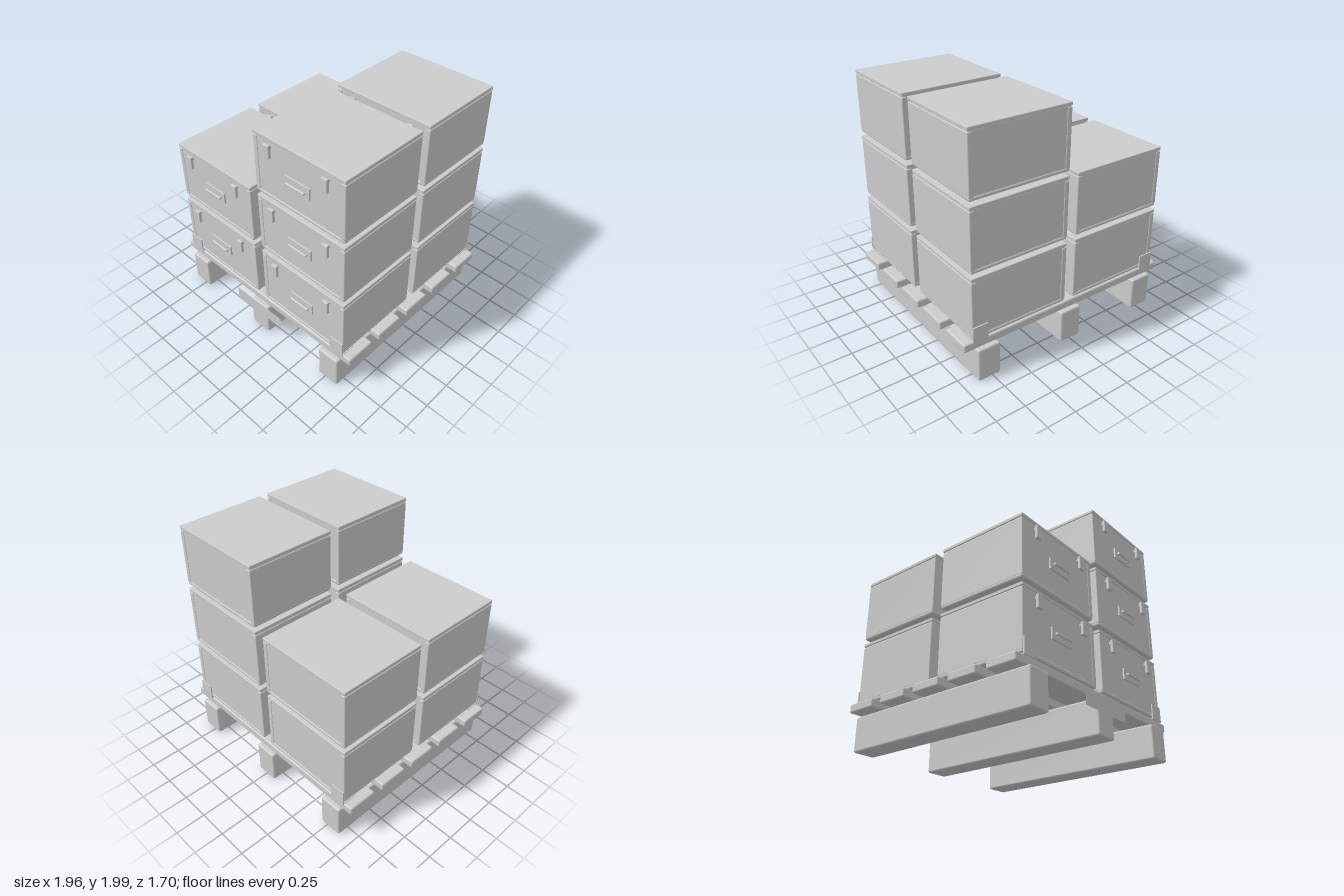
import * as THREE from 'three';
import { RoundedBoxGeometry } from 'three/addons/geometries/RoundedBoxGeometry.js';

const grey = new THREE.MeshStandardMaterial({ color: 0xcccccc });
grey.name = 'light grey';
const greySheet = new THREE.MeshStandardMaterial({ color: 0xcccccc, side: THREE.DoubleSide });
greySheet.name = 'light grey sheet';

function add(parent, name, geometry, x, y, z, material = grey) {
  const mesh = new THREE.Mesh(geometry, material);
  mesh.name = name;
  mesh.position.set(x, y, z);
  parent.add(mesh);
  return mesh;
}

const rounded = (w, h, d, r) => new RoundedBoxGeometry(w, h, d, 2, r);

// Storage crate, standing on its own y = 0 and facing +z
const W = 0.86, H = 0.52, D = 0.77;
function makeCrate() {
  const crate = new THREE.Group();
  crate.name = 'crate';
  const front = D / 2;
  add(crate, 'body', rounded(W - 0.012, H - 0.03, D - 0.012, 0.012), 0, (H - 0.03) / 2 + 0.008, 0);
  add(crate, 'bottomTray', rounded(W, 0.036, D, 0.016), 0, 0.018, 0);
  add(crate, 'lid', rounded(W, 0.028, D, 0.006), 0, H - 0.014, 0);
  for (const side of [-1, 1]) {
    add(crate, 'sidePanel', rounded(0.042, 0.462, D - 0.002, 0.008), side * (W / 2 - 0.021), 0.254, 0);
    // Latch with a small hook at its top
    add(crate, 'latch', rounded(0.054, 0.11, 0.026, 0.006), side * 0.269, 0.42, front + 0.018);
    add(crate, 'latchHook', new THREE.BoxGeometry(0.04, 0.02, 0.016), side * 0.269, 0.45, front);
  }
  add(crate, 'labelPlate', new THREE.PlaneGeometry(0.296, 0.075), 0, 0.402, front + 0.001, greySheet);
  // Handle: back plate, two stand-offs and a grip bar
  add(crate, 'handlePlate', new THREE.BoxGeometry(0.235, 0.09, 0.014), 0, 0.25, front + 0.003);
  const bar = add(crate, 'handleBar', new THREE.CylinderGeometry(0.01, 0.01, 0.175, 12), 0, 0.25, front + 0.025);
  bar.rotation.z = Math.PI / 2;
  for (const side of [-1, 1]) {
    add(crate, 'handleMount', new THREE.BoxGeometry(0.012, 0.014, 0.025), side * 0.08, 0.25, front + 0.014);
  }
  return crate;
}

export function createModel() {
  const model = new THREE.Group();
  model.name = 'loadedPallet';

  // Pallet: three runners and five cross slats
  const pallet = new THREE.Group();
  pallet.name = 'pallet';
  model.add(pallet);
  for (const x of [-0.785, -0.003, 0.778]) {
    add(pallet, 'runner', rounded(0.195, 0.28, 1.695, 0.016), x, 0.14, -0.0075);
  }
  for (let i = 0; i < 5; i++) {
    add(pallet, 'slat', rounded(1.955, 0.07, 0.255, 0.014), -0.003, 0.315, 0.675 - i * 0.342);
  }
  add(pallet, 'signPlate', new THREE.PlaneGeometry(0.525, 0.11), -0.003, 0.23, 0.843, greySheet);

  // Corner stops: an upright with a foot tucked under the crate
  for (const x of [-0.84, 0.835]) {
    for (const [z, inward] of [[0.806, -1], [-0.826, 1]]) {
      add(pallet, 'cornerStop', new THREE.BoxGeometry(0.13, 0.13, 0.01), x, 0.41, z);
      add(pallet, 'cornerStopFoot', new THREE.BoxGeometry(0.13, 0.01, 0.13), x, 0.352, z + inward * 0.064);
    }
  }

  // Crates: two layers on the right, three on the left
  const crate = makeCrate();
  for (const [x, layers] of [[-0.475, 2], [0.47, 3]]) {
    for (const z of [0.415, -0.435]) {
      for (let i = 0; i < layers; i++) {
        const copy = crate.clone();
        copy.position.set(x, 0.36 + i * 0.555, z);
        model.add(copy);
      }
    }
  }
  return model;
}
